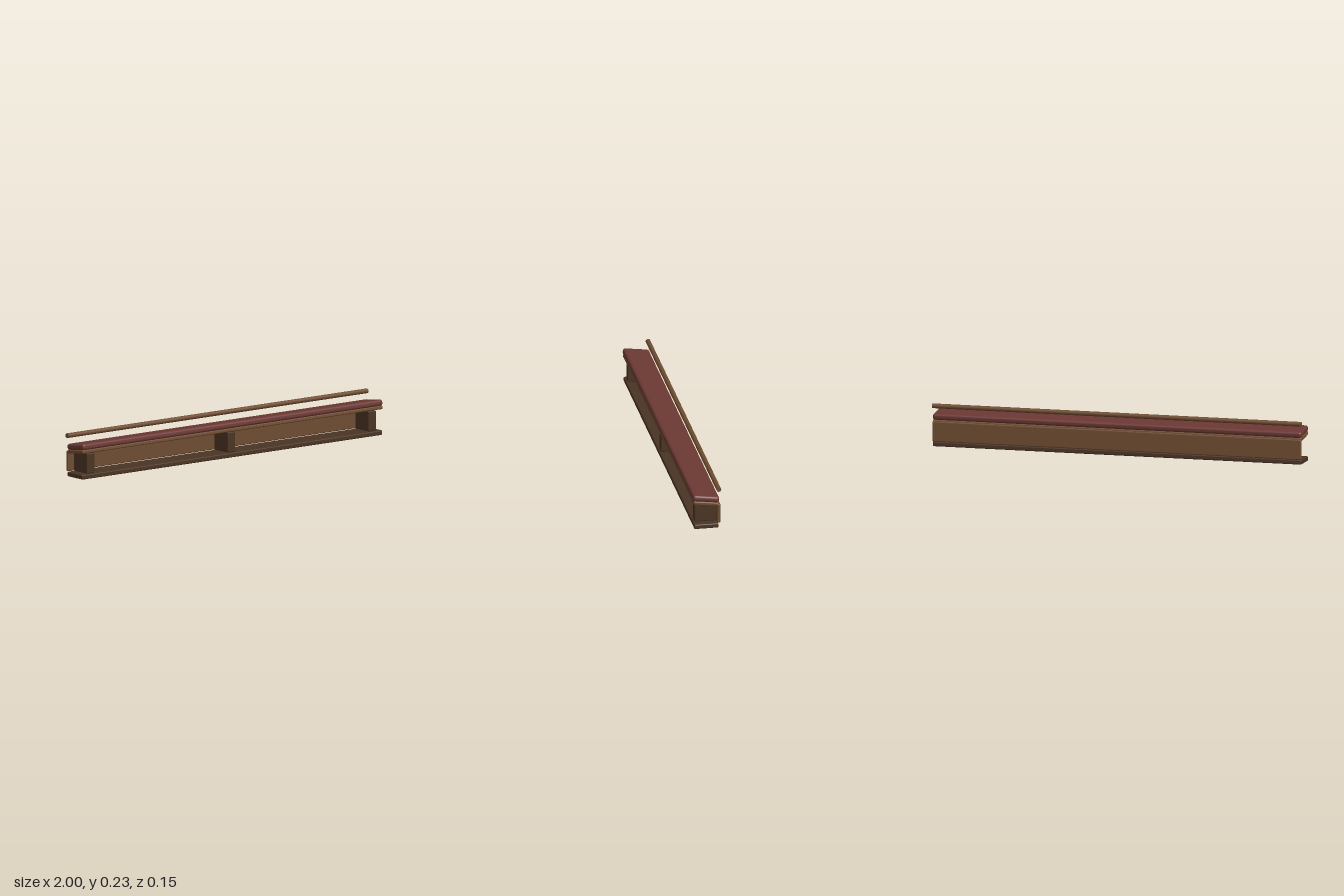
import * as THREE from 'three';
import { RoundedBoxGeometry } from 'three/addons/geometries/RoundedBoxGeometry.js';

const material = (name, color) => {
  const m = new THREE.MeshStandardMaterial({ color });
  m.name = name;
  return m;
};

export function createModel() {
  const group = new THREE.Group();
  group.name = 'bench';
  const darkWood = material('dark wood', 0x4a3423);
  const wood = material('wood', 0x6f4c31);
  const leather = material('red leather', 0x6b3833);

  // Rounded block placed by its centre, optionally tipped about x
  const block = (name, mat, size, radius, position, tilt = 0) => {
    const mesh = new THREE.Mesh(new RoundedBoxGeometry(...size, 3, radius), mat);
    mesh.name = name;
    mesh.position.set(...position);
    mesh.rotation.x = tilt;
    group.add(mesh);
  };

  // Plinth, uprights and back panel
  block('plinth', darkWood, [2, 0.025, 0.128], 0.006, [0, 0.0135, 0.004]);
  for (const x of [-0.938, 0, 0.938]) {
    block('upright', darkWood, [0.05, 0.107, 0.114], 0.005, [x, 0.081, 0.004]);
  }
  block('backPanel', wood, [2, 0.107, 0.017], 0.006, [0, 0.081, -0.062]);

  // Seat board and cushion slope down toward the back
  const tilt = -0.135;
  block('seatBoard', wood, [2, 0.02, 0.134], 0.006, [0, 0.14, 0.0045], tilt);
  block('cushion', leather, [2, 0.033, 0.14], 0.013, [0, 0.165, 0.0045], tilt);

  // Round rail above the back edge
  const rail = new THREE.Mesh(new THREE.CylinderGeometry(0.0125, 0.0125, 2, 20), wood);
  rail.name = 'backRail';
  rail.rotation.z = Math.PI / 2;
  rail.position.set(0, 0.216, -0.062);
  group.add(rail);

  return group;
}
